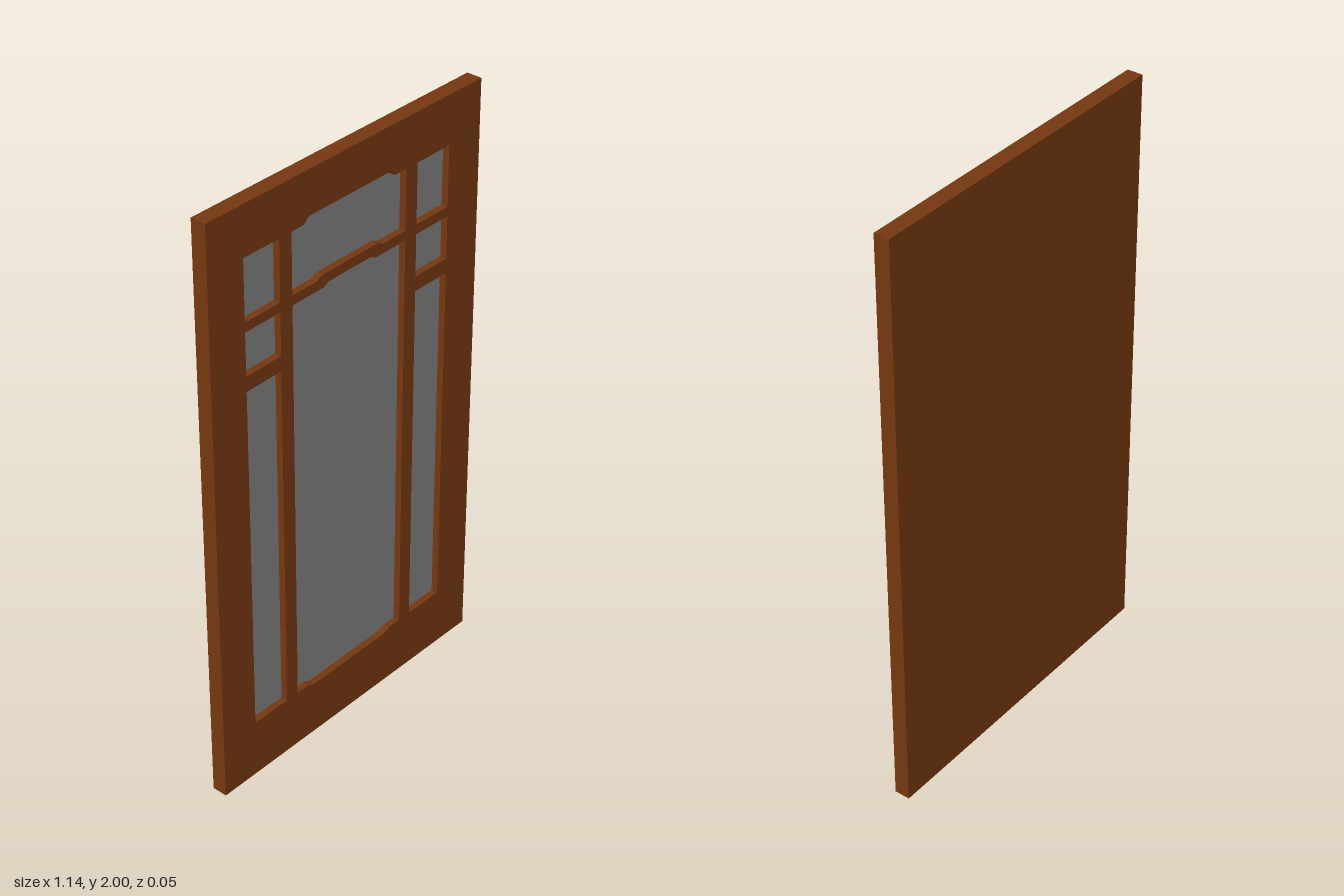
import * as THREE from 'three';

const WIDTH = 1.136, HEIGHT = 2, DEPTH = 0.052, RECESS = 0.025, PLATE = 0.002;

// Window outline: each end is [y at the corners, y of the raised middle, x where the step starts].
function windowPoints(x0, x1, bottom, top) {
  const mid = (x0 + x1) / 2;
  const edge = ([y, yMid, step]) => yMid === undefined
    ? [[x0, y], [x1, y]]
    : [
      [x0, y], [mid - step, y], [mid - step + 0.014, y + (yMid - y) * 0.75], [mid - step + 0.026, yMid],
      [mid + step - 0.026, yMid], [mid + step - 0.014, y + (yMid - y) * 0.75], [mid + step, y], [x1, y],
    ];
  return [...edge(bottom), ...edge(top).reverse()].map(([x, y]) => new THREE.Vector2(x, y));
}

export function createModel() {
  const wood = new THREE.MeshStandardMaterial({ color: 0x763810 });
  wood.name = 'brown wood';
  const glass = new THREE.MeshStandardMaterial({ color: 0x808080 });
  glass.name = 'grey glass';

  const door = new THREE.Group();
  door.name = 'door';
  const add = (name, geometry, material, y, z) => {
    const mesh = new THREE.Mesh(geometry, material);
    mesh.name = name;
    mesh.position.set(0, y, z);
    door.add(mesh);
  };

  // Centre windows with stepped ends
  const windows = [
    { name: 'centreTopPane', points: windowPoints(-0.24, 0.24, [1.635, 1.646, 0.14], [1.837, 1.856, 0.19]) },
    { name: 'centreMainPane', points: windowPoints(-0.24, 0.24, [0.202, 0.19, 0.19], [1.603, 1.614, 0.11]) },
  ];
  // Three plain windows down each side
  const rows = [['Top', 1.635, 1.837], ['Middle', 1.46, 1.603], ['Lower', 0.202, 1.41]];
  for (const [side, x0, x1] of [['left', 0.289, 0.43], ['right', -0.43, -0.289]]) {
    for (const [row, y0, y1] of rows) {
      windows.push({ name: `${side}${row}Pane`, points: windowPoints(x0, x1, [y0], [y1]) });
    }
  }

  // Solid back and the pierced front frame
  const backDepth = DEPTH - RECESS;
  const backFront = -DEPTH / 2 + backDepth;
  add('backPanel', new THREE.BoxGeometry(WIDTH, HEIGHT, backDepth), wood, HEIGHT / 2, backFront - backDepth / 2);

  const w = WIDTH / 2;
  const frame = new THREE.Shape([[-w, 0], [w, 0], [w, HEIGHT], [-w, HEIGHT]].map(([x, y]) => new THREE.Vector2(x, y)));
  frame.holes = windows.map(({ points }) => new THREE.Path(points));
  add('frontFrame', new THREE.ExtrudeGeometry(frame, { depth: RECESS, bevelEnabled: false }), wood, 0, backFront);

  // Thin panes set in the recesses
  for (const { name, points } of windows) {
    const pane = new THREE.ExtrudeGeometry(new THREE.Shape(points), { depth: PLATE, bevelEnabled: false });
    add(name, pane, glass, 0, backFront);
  }
  return door;
}
